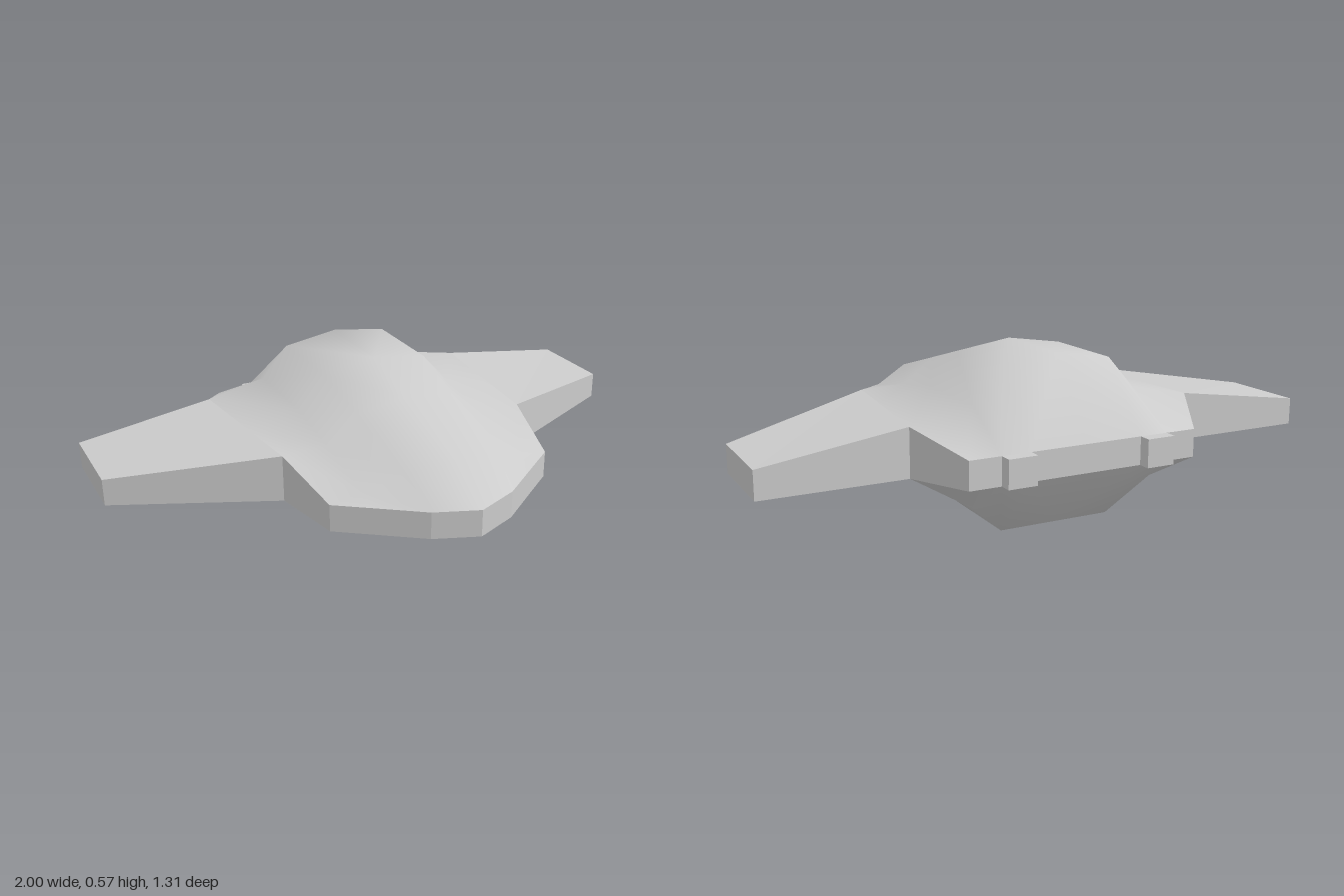
import * as THREE from 'three';

const RIM_TOP = 0.315, RIM_LOW = 0.22, ROOT_TOP = 0.385;

// Half sections from nose to tail; each runs from the centre line out to the rim: [x, y, z]
const DECK = [
  [[0, RIM_TOP, 0.65], [0.15, RIM_TOP, 0.59], [0.3, RIM_TOP, 0.48], [0.41, RIM_TOP, 0.4]],
  [[0, 0.41, 0.48], [0.17, 0.395, 0.46], [0.3, 0.335, 0.41], [0.41, RIM_TOP, 0.4]],
  [[0, 0.504, 0.145], [0.185, 0.478, 0.145], [0.3, 0.39, 0.145], [0.46, ROOT_TOP, 0.145]],
  [[0, 0.57, -0.09], [0.2, 0.54, -0.09], [0.3, 0.428, -0.09], [0.483, ROOT_TOP, -0.09]],
  [[0, 0.57, -0.418], [0.2, 0.54, -0.418], [0.3, 0.428, -0.418], [0.515, ROOT_TOP, -0.418]],
  [[0, RIM_TOP, -0.617], [0.2, RIM_TOP, -0.617], [0.3, RIM_TOP, -0.617], [0.41, RIM_TOP, -0.617]],
];
const BELLY = [
  [[0, RIM_LOW, 0.65], [0.15, RIM_LOW, 0.59], [0.3, RIM_LOW, 0.48], [0.41, RIM_LOW, 0.4]],
  [[0, 0.146, 0.4], [0.163, 0.158, 0.4], [0.3, 0.2, 0.395], [0.41, RIM_LOW, 0.4]],
  [[0, 0.07, 0.145], [0.185, 0.076, 0.145], [0.3, 0.144, 0.145], [0.46, RIM_LOW, 0.145]],
  [[0, 0, -0.09], [0.2, 0, -0.09], [0.3, 0.09, -0.09], [0.483, RIM_LOW, -0.09]],
  [[0, 0, -0.418], [0.2, 0, -0.418], [0.3, 0.09, -0.418], [0.515, RIM_LOW, -0.418]],
  [[0, RIM_LOW, -0.617], [0.2, RIM_LOW, -0.617], [0.3, RIM_LOW, -0.617], [0.41, RIM_LOW, -0.617]],
];

// Mirror a half section into a full row, right to left
const fullRow = (half) => [
  ...half.slice(1).reverse().map(([x, y, z]) => [-x, y, z]),
  ...half,
];

function geometryFrom(points, index) {
  const geo = new THREE.BufferGeometry();
  geo.setAttribute('position', new THREE.Float32BufferAttribute(points.flat(), 3));
  geo.setIndex(index);
  return geo;
}

// Smooth skin through the mirrored sections
function skin(sections, facesUp) {
  const rows = sections.map(fullRow);
  const points = rows.flat();
  const n = rows[0].length;
  const index = [];
  const same = (i, j) => points[i].every((v, k) => v === points[j][k]);
  const tri = (a, b, c) => {
    if (same(a, b) || same(b, c) || same(c, a)) return;
    index.push(...(facesUp ? [a, b, c] : [a, c, b]));
  };
  for (let r = 0; r < rows.length - 1; r++) {
    for (let c = 0; c < n - 1; c++) {
      const a = r * n + c, b = a + 1, d = a + n, e = b + n;
      if (c >= (n - 1) / 2) { tri(a, b, e); tri(a, e, d); }
      else { tri(a, b, d); tri(b, e, d); }
    }
  }
  const geo = geometryFrom(points, index);
  geo.computeVertexNormals();
  return geo;
}

// Points round the edge of a skin, anticlockwise from above
function perimeter(sections) {
  const rows = sections.map(fullRow);
  const sides = rows.slice(2, -1);
  return [
    ...rows[0],
    ...sides.map((row) => row[row.length - 1]),
    ...[...rows[rows.length - 1]].reverse(),
    ...sides.map((row) => row[0]).reverse(),
  ];
}

// Flat-faced band joining deck and belly
function rimBand() {
  const top = perimeter(DECK), low = perimeter(BELLY);
  const n = top.length;
  const index = [];
  for (let i = 0; i < n; i++) {
    const j = (i + 1) % n;
    index.push(n + i, n + j, j, n + i, j, i);
  }
  const geo = geometryFrom([...top, ...low], index).toNonIndexed();
  geo.computeVertexNormals();
  return geo;
}

// Box reshaped into a swept, tapering wing
function wing(side) {
  const geo = new THREE.BoxGeometry(1, 1, 1).toNonIndexed();
  const p = geo.attributes.position;
  for (let i = 0; i < p.count; i++) {
    const tip = p.getX(i) * side > 0, top = p.getY(i) > 0, front = p.getZ(i) > 0;
    const x = tip ? 1 : front ? 0.46 : 0.515;
    const y = !top ? RIM_LOW : tip ? RIM_TOP : ROOT_TOP;
    const z = !front ? -0.418 : tip ? -0.1 : 0.145;
    p.setXYZ(i, x * side, y, z);
  }
  geo.computeVertexNormals();
  return geo;
}

export function createModel() {
  const group = new THREE.Group();
  const material = new THREE.MeshStandardMaterial({ color: 0xcccccc });
  const add = (name, geo) => {
    const mesh = new THREE.Mesh(geo, material);
    mesh.name = name;
    group.add(mesh);
    return mesh;
  };

  add('upperHull', skin(DECK, true));
  add('lowerHull', skin(BELLY, false));
  add('hullRim', rimBand());

  for (const [label, side] of [['left', 1], ['right', -1]]) {
    add(label + 'Wing', wing(side));
    // Rear thruster block
    add(label + 'Thruster', new THREE.BoxGeometry(0.1, RIM_TOP - RIM_LOW, 0.06))
      .position.set(0.25 * side, (RIM_TOP + RIM_LOW) / 2, -0.63);
  }
  return group;
}
